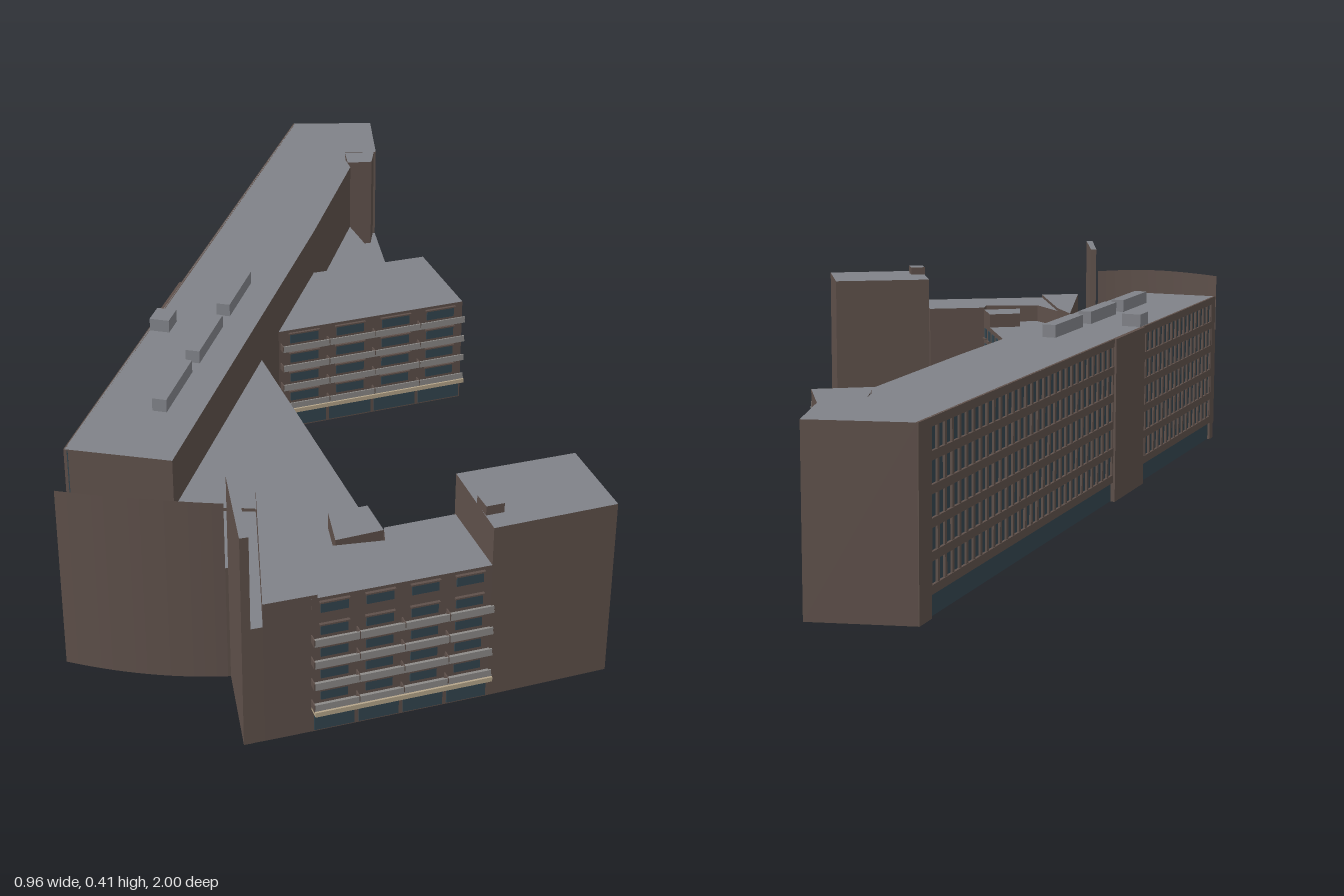
import * as THREE from 'three';

const mat = (color) => new THREE.MeshStandardMaterial({ color, side: THREE.DoubleSide, flatShading: true });

export function createModel() {
  const model = new THREE.Group();
  const M = {
    wall: mat(0x5e504a), roof: mat(0x808288), glass: mat(0x33454f),
    rail: mat(0x8c8a88), canopy: mat(0xb5a58a),
  };

  // Vertical wall along a plan path of [x, z] points; top may vary along it
  function wall(name, path, top, closed = true, skip = []) {
    const pos = [];
    const n = closed ? path.length : path.length - 1;
    for (let i = 0; i < n; i++) {
      if (skip.includes(i)) continue;
      const [ax, az] = path[i], [bx, bz] = path[(i + 1) % path.length];
      const ha = typeof top === 'function' ? top(i / n) : top;
      const hb = typeof top === 'function' ? top((i + 1) / n) : top;
      pos.push(ax, 0, az, bx, 0, bz, bx, hb, bz, ax, 0, az, bx, hb, bz, ax, ha, az);
    }
    const g = new THREE.BufferGeometry();
    g.setAttribute('position', new THREE.Float32BufferAttribute(pos, 3));
    g.computeVertexNormals();
    const m = new THREE.Mesh(g, M.wall);
    m.name = name;
    return m;
  }

  // Building block: walls plus a flat roof, open below
  function block(name, path, h, skip = []) {
    const pts = path.map(([x, z]) => new THREE.Vector2(x, -z));
    const plan = THREE.ShapeUtils.isClockWise(pts) ? [...path].reverse() : path;
    const group = new THREE.Group();
    group.name = name;
    group.add(wall(name + 'Walls', plan, h, true, skip));
    const roof = new THREE.Mesh(new THREE.ShapeGeometry(new THREE.Shape(pts)).rotateX(-Math.PI / 2), M.roof);
    roof.position.y = h;
    roof.name = name + 'Roof';
    group.add(roof);
    model.add(group);
  }

  // Local frame on a wall: x runs from a to b, z points outwards
  function facade(name, [ax, az], [bx, bz]) {
    const g = new THREE.Group();
    g.name = name;
    g.position.set(ax, 0, az);
    g.rotation.y = -Math.atan2(bz - az, bx - ax);
    model.add(g);
    const box = (part, x0, x1, y0, y1, z0, z1, m) => {
      const mesh = new THREE.Mesh(new THREE.BoxGeometry(x1 - x0, y1 - y0, z1 - z0), m);
      mesh.position.set((x0 + x1) / 2, (y0 + y1) / 2, (z0 + z1) / 2);
      mesh.name = part;
      g.add(mesh);
    };
    return { box, length: Math.hypot(bx - ax, bz - az) };
  }

  // Balcony front: glazed ground floor, then windows behind continuous rails
  function balconyFront(name, a, b, floors, h) {
    const { box, length: L } = facade(name, a, b);
    const bays = 4, w = L / bays, pitch = (h - 0.05) / (floors - 1);
    box('canopy', 0, L, 0.046, 0.055, 0, 0.022, M.canopy);
    for (let i = 0; i < bays; i++) {
      box('groundWindow', i * w + 0.004, (i + 1) * w - 0.004, 0.004, 0.042, 0, 0.003, M.glass);
      for (let f = 1; f < floors; f++) {
        const y = 0.05 + (f - 1) * pitch, x = i * w;
        box('window', x + w * 0.2, x + w * 0.8, y + 0.016, y + pitch - 0.009, 0, 0.003, M.glass);
        box('windowHead', x + w * 0.17, x + w * 0.83, y + pitch - 0.009, y + pitch - 0.006, 0, 0.006, M.wall);
        if (f < floors - 1 || floors === 5) {
          box('balconySlab', x, x + w, y + 0.004, y + 0.008, 0, 0.018, M.rail);
          box('balconyRail', x + 0.001, x + w - 0.001, y + 0.007, y + 0.018, 0.015, 0.018, M.rail);
          box('balconyDivider', x - 0.001, x + 0.001, y + 0.004, y + 0.018, 0, 0.018, M.wall);
        }
      }
    }
  }

  // Long main bar, its west side left open for the glazed front
  const north = [-0.05, -1], south = [-0.48, 0.58];
  block('mainBar', [north, south, [-0.285, 0.625], [-0.015, -0.345], [0.08, -0.715],
    [0.07, -0.76], [0.07, -0.81], [0.145, -0.81], [0.14, -1]], 0.335, [0]);

  // Glazed west front with floor bands and mullions
  const west = facade('westFront', north, south);
  const L = west.length, floors = 6, pitch = 0.335 / floors;
  west.box('curtainGlass', 0, L, 0, 0.333, -0.006, -0.004, M.glass);
  west.box('northPier', 0, L * 0.03, 0, 0.335, -0.003, 0.002, M.wall);
  west.box('middlePier', L * 0.57, L * 0.68, 0, 0.335, -0.003, 0.006, M.wall);
  west.box('southPier', L * 0.985, L, 0, 0.335, -0.003, 0.002, M.wall);
  for (let f = 1; f <= floors; f++)
    west.box('floorBand', 0, L, f * pitch - 0.016, f * pitch, -0.003, 0.002, M.wall);
  for (let i = 0; i < 54; i++) {
    const x = L * (0.03 + i * 0.018);
    west.box('mullion', x - 0.004, x + 0.004, pitch, 0.333, -0.003, 0.001, M.wall);
  }

  // Rooftop housings lined up with the main bar
  const lean = -Math.atan2(0.43, 1.58);
  for (const [x, z, w, l] of [[-0.185, -0.02, 0.028, 0.16], [-0.24, 0.18, 0.028, 0.16],
    [-0.295, 0.37, 0.028, 0.16], [-0.325, 0.1, 0.04, 0.05]]) {
    const m = new THREE.Mesh(new THREE.BoxGeometry(w, 0.03, l), M.roof);
    m.position.set(x, 0.346, z);
    m.rotation.y = lean;
    m.name = 'roofHousing';
    model.add(m);
  }

  // Middle wing and the low parts behind it
  block('middleWing', [[-0.11, -0.055], [0.305, -0.195], [0.235, -0.425], [-0.02, -0.345]], 0.235);
  balconyFront('middleWingFront', [-0.09, -0.062], [0.305, -0.195], 5, 0.235);
  block('lowLink', [[-0.02, -0.345], [0.18, -0.408], [0.08, -0.715]], 0.18);
  block('lowAnnex', [[0.145, -0.81], [0.165, -0.61], [0.125, -0.6], [0.08, -0.715], [0.07, -0.76], [0.07, -0.81]], 0.12);
  block('stairShaft', [[0.07, -0.81], [0.14, -0.81], [0.132, -0.75], [0.075, -0.745]], 0.334);

  // Triangular south wing with a window grid on its east side
  block('southWing', [[-0.14, 0.03], [0.085, 0.755], [-0.04, 0.8], [-0.1, 0.72], [-0.14, 0.63], [-0.285, 0.62]], 0.236);
  const east = facade('southWingFront', [0.085, 0.755], [-0.14, 0.03]);
  const cols = 14, step = east.length / cols;
  for (let i = 0; i < cols; i++) {
    for (let f = 0; f < 6; f++) {
      const x = (i + 0.5) * step, y = 0.012 + f * 0.038;
      east.box('window', x - 0.013, x + 0.013, y, y + 0.023, 0, 0.002, M.glass);
      east.box('windowSill', x - 0.015, x + 0.015, y - 0.003, y, 0, 0.006, M.wall);
    }
  }

  // Hall with a curved screen wall rising above its roof
  const curve = new THREE.QuadraticBezierCurve(
    new THREE.Vector2(-0.48, 0.76), new THREE.Vector2(-0.33, 0.815), new THREE.Vector2(-0.19, 0.81));
  const arc = curve.getPoints(14).map((p) => [p.x, p.y]);
  block('hall', [[-0.44, 0.59], ...arc, [-0.125, 0.8], [-0.125, 0.66], [-0.14, 0.63], [-0.285, 0.625]], 0.23);
  model.add(wall('hallScreen', arc, (t) => 0.36 + 0.007 * Math.sin(Math.PI * Math.min(1, t * 0.95)), false));

  // Tall fin wall beside the entrance corner
  block('fin', [[-0.185, 0.81], [-0.16, 1.0], [-0.145, 0.996], [-0.172, 0.81]], 0.415);

  // South block with balcony front, corner strip and rear stair
  block('cornerLow', [[-0.178, 0.8], [-0.155, 0.998], [-0.125, 0.99], [-0.125, 0.8]], 0.235);
  block('cornerStrip', [[-0.125, 0.99], [-0.035, 0.964], [-0.1, 0.72], [-0.138, 0.635]], 0.28);
  block('southBlock', [[-0.045, 0.967], [0.262, 0.875], [0.213, 0.715], [0.085, 0.755],
    [0.085, 0.795], [-0.04, 0.815], [-0.1, 0.72]], 0.273);
  balconyFront('southBlockFront', [-0.045, 0.967], [0.262, 0.875], 6, 0.273);
  block('rearStair', [[-0.01, 0.7], [0.06, 0.675], [0.085, 0.755], [0.0, 0.785]], 0.268);

  // End tower with a small roof box
  block('endTower', [[0.43, 0.635], [0.48, 0.805], [0.262, 0.875], [0.213, 0.7]], 0.347);
  block('towerRoofBox', [[0.24, 0.8], [0.272, 0.79], [0.284, 0.826], [0.252, 0.836]], 0.365);

  return model;
}
